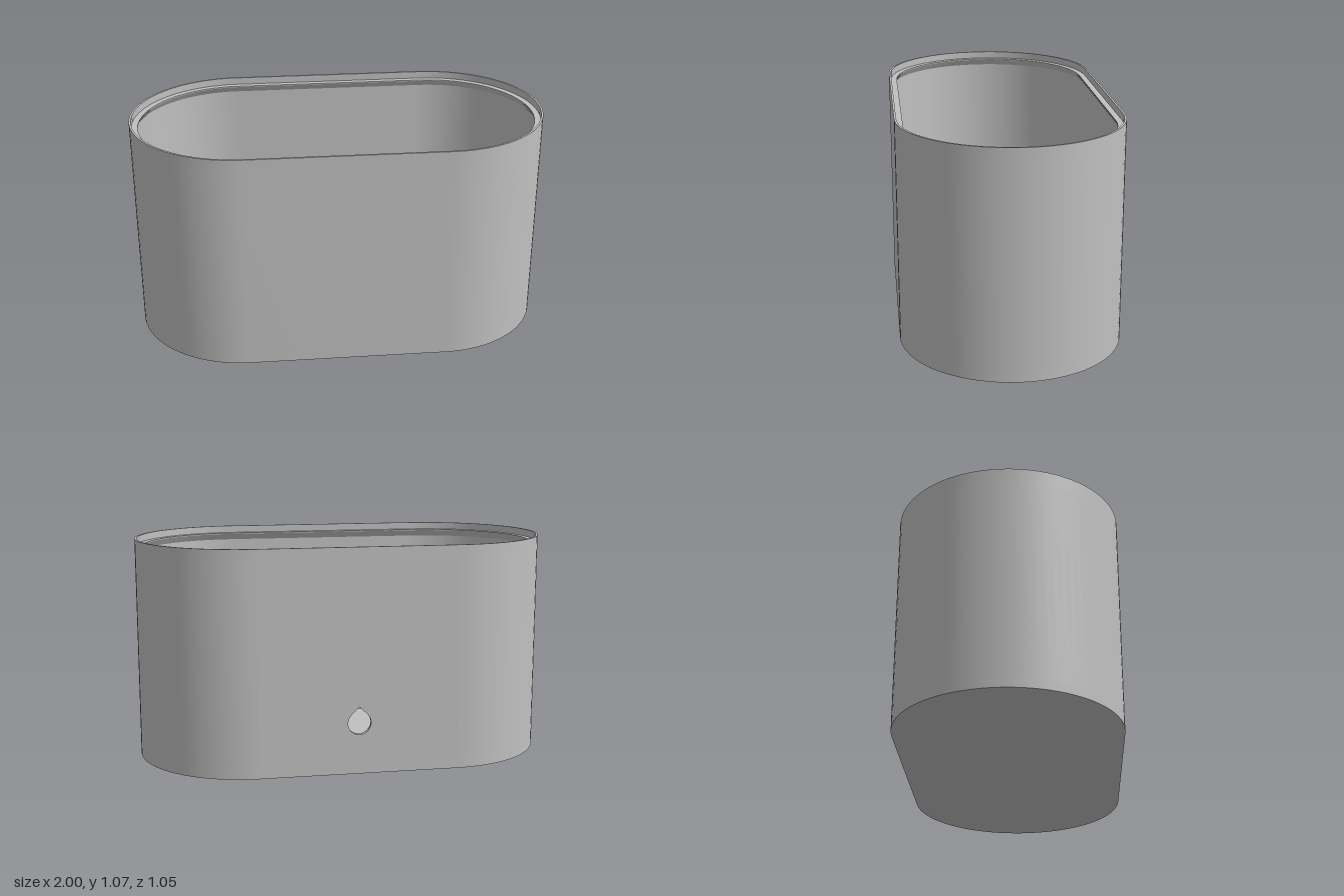
import * as THREE from 'three';
import { toCreasedNormals } from 'three/addons/utils/BufferGeometryUtils.js';

const HALF = 0.475;    // half length of the straight sides
const R = 0.525;       // outer end radius
const WALL = 0.02;     // wall thickness
const FLOOR = 0.04;    // floor thickness
const WALL_TOP = 1.0;  // where the rim starts
const HEIGHT = 1.07;
const SEG = 40;        // segments per rounded end

// Points of one half-round end, from angle a0 to a1
function arc(cx, r, a0, a1) {
  return Array.from({ length: SEG + 1 }, (_, i) => {
    const a = a0 + (a1 - a0) * i / SEG;
    return new THREE.Vector2(cx + r * Math.cos(a), r * Math.sin(a));
  });
}

// Both rounded ends, running from the left straight end round to the right one
function ends(r) {
  return [
    ...arc(-HALF, r, Math.PI / 2, Math.PI * 1.5),
    ...arc(HALF, r, -Math.PI / 2, Math.PI / 2),
  ];
}

// Extrude a plan outline upward from y0 to y1
function extrudeUp(points, y0, y1) {
  const geo = new THREE.ExtrudeGeometry(new THREE.Shape(points), { depth: y1 - y0, bevelEnabled: false });
  geo.rotateX(-Math.PI / 2).translate(0, y0, 0);
  return toCreasedNormals(geo, 0.5);
}

// Sweep an (inset, height) profile around the closed outline
function sweep(profile) {
  const rings = profile.map(([inset, y]) => ends(R - inset).map(p => [p.x, y, p.y]));
  const n = rings[0].length, pos = [];
  for (let j = 0; j < profile.length - 1; j++) {
    for (let i = 0; i < n; i++) {
      const k = (i + 1) % n;
      const a = rings[j][i], b = rings[j + 1][i], c = rings[j][k], d = rings[j + 1][k];
      pos.push(...a, ...b, ...c, ...c, ...b, ...d);
    }
  }
  const geo = new THREE.BufferGeometry();
  geo.setAttribute('position', new THREE.Float32BufferAttribute(pos, 3));
  return toCreasedNormals(geo, 0.5);
}

// Straight back wall with a teardrop cable hole
function backPanel() {
  const shape = new THREE.Shape([
    new THREE.Vector2(-HALF, FLOOR), new THREE.Vector2(HALF, FLOOR),
    new THREE.Vector2(HALF, WALL_TOP), new THREE.Vector2(-HALF, WALL_TOP),
  ]);
  const r = 0.055, cy = 0.245;
  const hole = new THREE.Path();
  hole.moveTo(0, cy + r * Math.SQRT2);
  hole.lineTo(-r * Math.SQRT1_2, cy + r * Math.SQRT1_2);
  hole.absarc(0, cy, r, Math.PI * 0.75, Math.PI * 2.25, false);
  hole.closePath();
  shape.holes.push(hole);
  const geo = new THREE.ExtrudeGeometry(shape, { depth: WALL, bevelEnabled: false, curveSegments: 24 });
  geo.translate(0, 0, -R);
  return toCreasedNormals(geo, 0.5);
}

export function createModel() {
  const group = new THREE.Group();
  group.name = 'ovalContainer';
  const grey = new THREE.MeshStandardMaterial({ color: 0xc0c0c0 });
  grey.name = 'light grey';

  const add = (name, geo) => {
    const mesh = new THREE.Mesh(geo, grey);
    mesh.name = name;
    group.add(mesh);
  };

  add('floor', extrudeUp(ends(R), 0, FLOOR));
  // Front and rounded walls, open along the straight back
  add('sideWall', extrudeUp([...ends(R), ...ends(R - WALL).reverse()], FLOOR, WALL_TOP));
  add('backWall', backPanel());
  // Thin lip, lid ledge and the sloped support under it
  add('rim', sweep([
    [0, WALL_TOP], [0, HEIGHT], [0.01, HEIGHT], [0.01, 1.035],
    [0.04, 1.035], [0.04, 1.03], [WALL, WALL_TOP],
  ]));
  return group;
}
